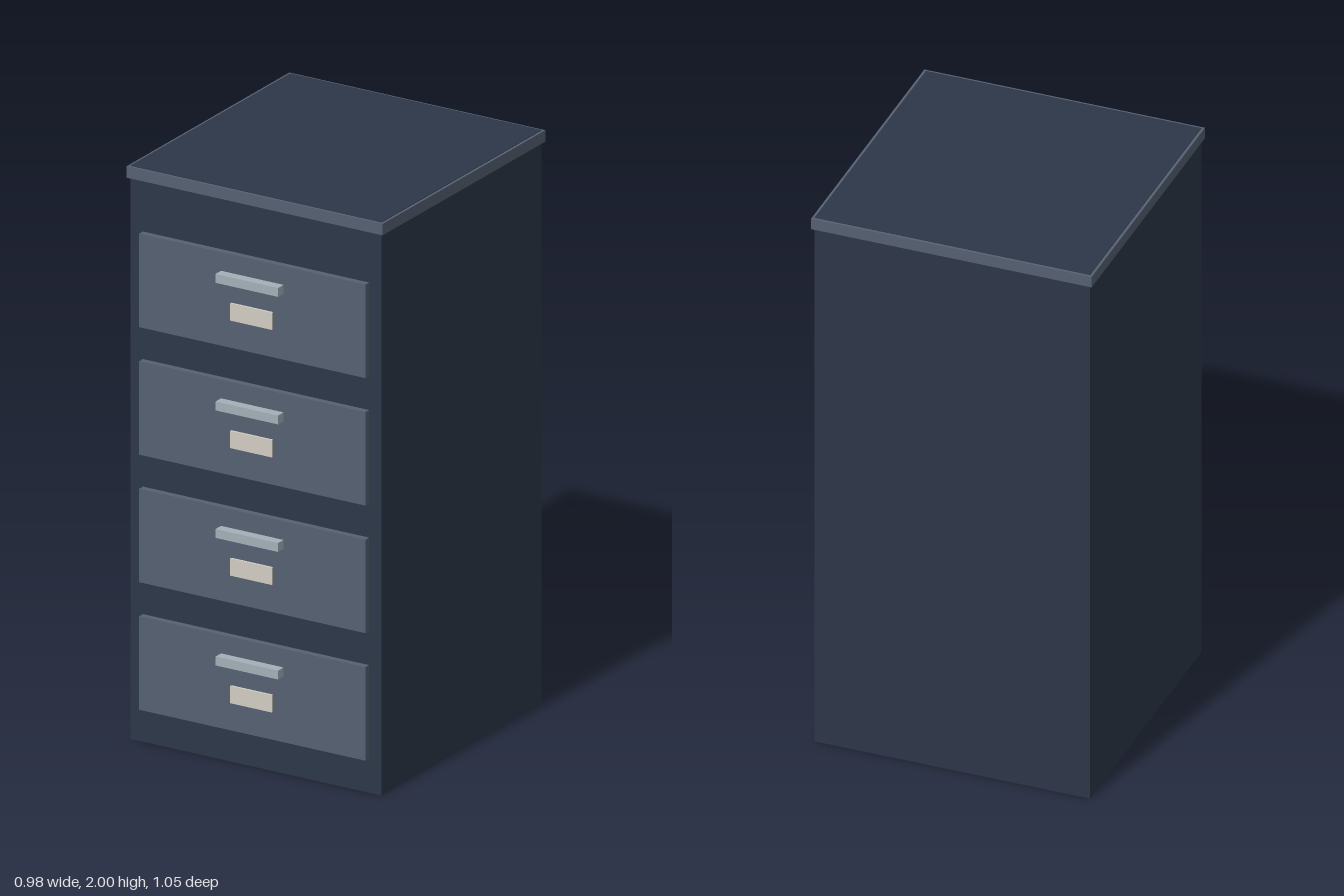
import * as THREE from 'three';

const paint = (color) => new THREE.MeshStandardMaterial({ color });
const bodyPaint = paint(0x2d3748);
const frontPaint = paint(0x556072);
const metal = paint(0xa3b0b8);
const paper = paint(0xd2cdc3);

// Box given by its extents along each axis
function box(name, material, [x0, x1], [y0, y1], [z0, z1]) {
  const mesh = new THREE.Mesh(new THREE.BoxGeometry(x1 - x0, y1 - y0, z1 - z0), material);
  mesh.position.set((x0 + x1) / 2, (y0 + y1) / 2, (z0 + z1) / 2);
  mesh.name = name;
  return mesh;
}

// One drawer with its pull and label, measured from the drawer's bottom edge
function makeDrawer() {
  const drawer = new THREE.Group();
  drawer.add(
    box('drawerFront', frontPaint, [-0.434, 0.434], [0, 0.326], [0.455, 0.489]),
    box('handle', metal, [-0.12, 0.12], [0.23, 0.261], [0.485, 0.523]),
    box('label', paper, [-0.08, 0.08], [0.098, 0.158], [0.485, 0.497])
  );
  return drawer;
}

export function createModel() {
  const cabinet = new THREE.Group();
  cabinet.name = 'filingCabinet';

  // Carcass, with a slightly wider lip around its top edge
  cabinet.add(
    box('body', bodyPaint, [-0.482, 0.482], [0, 2], [-0.514, 0.466]),
    box('topLip', frontPaint, [-0.491, 0.491], [1.958, 1.998], [-0.523, 0.475])
  );

  // Four equal drawers
  for (let i = 0; i < 4; i++) {
    const drawer = makeDrawer();
    drawer.name = `drawer${i + 1}`;
    drawer.position.y = 0.119 + i * 0.4447;
    cabinet.add(drawer);
  }
  return cabinet;
}
